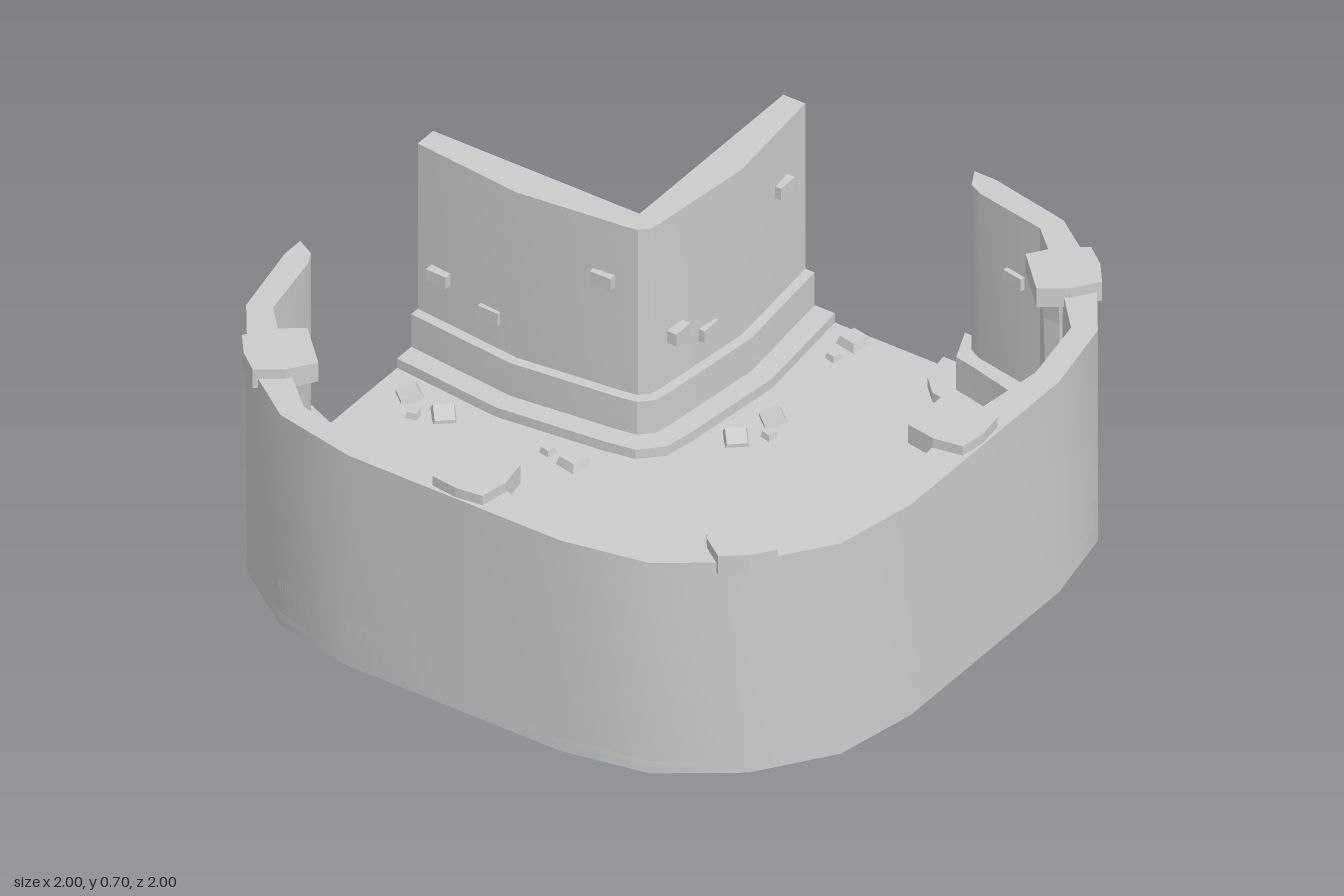
import * as THREE from 'three';
import { toCreasedNormals } from 'three/addons/utils/BufferGeometryUtils.js';

const grey = new THREE.MeshStandardMaterial({ color: 0xcccccc });
const stone = new THREE.MeshStandardMaterial({ color: 0xcccccc, flatShading: true });

function mesh(name, geometry, material = stone) {
  const m = new THREE.Mesh(geometry, material);
  m.name = name;
  return m;
}

// Upright prism from a plan outline of [x, z] points
function prism(plan, y0, y1) {
  const shape = new THREE.Shape(plan.map(([x, z]) => new THREE.Vector2(x, -z)));
  const g = new THREE.ExtrudeGeometry(shape, { depth: y1 - y0, bevelEnabled: false });
  return toCreasedNormals(g.rotateX(-Math.PI / 2).translate(0, y0, 0), 0.5);
}

// Plan line running around three corners; octant goes from x = 0 to the diagonal
function roomLine(octant, end = []) {
  const quarter = [...octant, ...octant.filter(([x, z]) => x !== z).map(([x, z]) => [z, x]).reverse()];
  return [
    ...end.map(([x, z]) => [x, -z]),
    ...quarter.filter(([x]) => x >= 0.3).map(([x, z]) => [x, -z]),
    ...quarter.slice(0, -1).reverse(),
    ...quarter.slice(1).filter(([, z]) => z >= 0.3).map(([x, z]) => [-x, z]),
    ...end.map(([x, z]) => [-z, x]).reverse(),
  ];
}

// Inner face of the notch corner, d away from its back
function notchLine(d) {
  const a = d - 0.34;
  const half = [[-1, a], [-0.66, a + 0.035], [-0.34, a], [-0.34 + d * 0.55, a - d * 0.1]];
  return [...half, ...half.map(([x, z]) => [z, x]).reverse()];
}

// Point and inward heading at fraction t of a wall segment
function addBrick(group, a, b, t, y, inward) {
  const brick = mesh('wallBrick', new THREE.BoxGeometry(0.065, 0.038, 0.03));
  brick.position.set(a[0] + (b[0] - a[0]) * t, y, a[1] + (b[1] - a[1]) * t);
  let angle = Math.atan2(-(b[1] - a[1]), b[0] - a[0]);
  if (inward) angle += Math.PI;
  brick.rotation.y = angle;
  group.add(brick);
}

function pillar(x, z) {
  const g = new THREE.Group();
  g.name = 'pillar';
  const outline = (s) => [[-0.08, -0.09], [0.08, -0.09], [0.095, 0], [0.08, 0.085], [0, 0.095], [-0.08, 0.085], [-0.095, 0]]
    .map(([px, pz]) => [px * s, pz * s]);
  g.add(mesh('pillarCap', prism(outline(1), 0.645, 0.705)));
  g.add(mesh('pillarBase', prism(outline(0.85), 0.03, 0.145)));
  // Slightly waisted eight-sided shaft
  const profile = [[0.074, 0.14], [0.066, 0.2], [0.062, 0.4], [0.066, 0.57], [0.078, 0.65]];
  const shaft = new THREE.LatheGeometry(profile.map(([r, y]) => new THREE.Vector2(r, y)), 8);
  g.add(mesh('pillarShaft', shaft.rotateY(Math.PI / 8)));
  g.position.set(x, 0, z);
  g.rotation.y = Math.atan2(x, z);
  return g;
}

export function createModel() {
  const model = new THREE.Group();
  model.name = 'cornerRoom';

  // Floor
  const outer = roomLine([[0, 1], [0.34, 1], [0.59, 0.95], [0.8, 0.8]]);
  const notch = [[-0.34, -1], [-0.34, -0.34], [-1, -0.34]];
  model.add(mesh('floor', prism([...outer, ...[...notch].reverse()], 0, 0.01), grey));

  // Wall, plinth and kerb, each stepping further into the room
  const wallOctant = [[0, 0.885], [0.34, 0.925], [0.56, 0.885], [0.73, 0.73]];
  const layers = [
    ['Wall', 0.675, 0.07, roomLine(wallOctant, [[0.27, 1], [0.3, 0.945]])],
    ['Plinth', 0.145, 0.1, roomLine([[0, 0.855], [0.34, 0.885], [0.56, 0.83], [0.7, 0.7]], [[0.24, 1], [0.285, 0.895]])],
    ['Kerb', 0.04, 0.165, roomLine(
      [[0, 0.765], [0.075, 0.765], [0.11, 0.8], [0.34, 0.83], [0.59, 0.75], [0.59, 0.68], [0.635, 0.635]],
      [[0.17, 1], [0.19, 0.9], [0.24, 0.85]])],
  ];
  for (const [name, top, d, line] of layers) {
    model.add(mesh('room' + name, prism([...outer, ...[...line].reverse()], 0, top), grey));
    model.add(mesh('notch' + name, prism([...notch, ...notchLine(d)], 0, top), grey));
  }

  // Pillars against the walls and in the corners
  for (const [x, z] of [[0.9, 0], [0, 0.9], [0.74, 0.74], [0.74, -0.74], [-0.74, 0.74]]) {
    model.add(pillar(x, z));
  }

  // Raised bricks on the notch walls
  for (const [p, y] of [[-0.4, 0.49], [-0.75, 0.245], [-0.92, 0.29]]) {
    addBrick(model, [-1, p < -0.66 ? -0.255 : -0.25], [-0.34, p < -0.66 ? -0.235 : -0.26], (p + 1) / 0.66, y, false);
  }
  for (const [p, y] of [[-0.39, 0.3], [-0.52, 0.235], [-0.87, 0.49]]) {
    addBrick(model, [-0.25, -0.34], [-0.25, -1], (-0.34 - p) / 0.66, y, false);
  }

  // Raised bricks on the outer walls: straight pieces first, then corner pieces
  const [mid, edge, bend] = wallOctant;
  const frontBricks = [
    [mid, edge, 0.85, 0.45], [edge, bend, 0.1, 0.52], [edge, bend, 0.75, 0.47],
    [mid, edge, 0.4, 0.49, -1], [mid, edge, 0.35, 0.3, -1], [edge, bend, 0.7, 0.48, -1],
  ];
  for (const [a, b, t, y, s = 1] of frontBricks) {
    addBrick(model, [a[0] * s, a[1]], [b[0] * s, b[1]], t, y, true);
  }
  const sideBricks = [
    [mid, edge, 0.95, 0.29, 1], [mid, edge, 0.5, 0.47, 1], [mid, edge, 0.8, 0.3, -1],
    [edge, bend, 0.1, 0.48, -1], [edge, bend, 0.6, 0.25, 1],
  ];
  for (const [a, b, t, y, s] of sideBricks) {
    addBrick(model, [a[1], a[0] * s], [b[1], b[0] * s], t, y, true);
  }
  addBrick(model, [0.34, -0.925], [0.56, -0.885], 0.6, 0.47, false);
  addBrick(model, [-0.925, 0.34], [-0.885, 0.56], 0.4, 0.3, false);

  // Loose stones on the floor: bevelled blocks, half-buried slabs and pebbles
  const blocks = [[-0.08, -0.95], [0.71, -0.44], [-0.37, -0.08], [0.745, 0.28], [-0.71, 0.43], [-0.28, 0.74], [0.43, 0.705]];
  const slabs = [[0.39, -0.74], [0.505, -0.675], [-0.055, -0.54], [-0.08, -0.41], [0.75, -0.26], [0.725, -0.125],
    [-0.9, -0.085], [-0.77, -0.06], [0.74, 0.39], [0.67, 0.505], [-0.505, 0.665], [-0.39, 0.735], [0.13, 0.715], [0.26, 0.74]];
  const pebbles = [[-0.085, -0.865], [0.43, -0.615], [-0.02, -0.475], [0.77, -0.365], [0.68, -0.195], [-0.84, -0.02],
    [-0.455, -0.085], [0.75, 0.195], [0.61, 0.43], [-0.775, 0.36], [-0.435, 0.61], [-0.195, 0.745], [0.195, 0.68], [0.36, 0.77]];
  const frustum = (w, top, h) =>
    new THREE.CylinderGeometry(top * Math.SQRT1_2, w * Math.SQRT1_2, h, 4).rotateY(Math.PI / 4);
  const kinds = [
    ['floorBlock', blocks, frustum(0.07, 0.052, 0.03), 0.02, 0],
    ['floorSlab', slabs, frustum(0.065, 0.055, 0.03), 0.011, 0.3],
    ['floorPebble', pebbles, frustum(0.034, 0.026, 0.02), 0.018, 0],
  ];
  for (const [name, spots, geometry, y, tilt] of kinds) {
    spots.forEach(([x, z], i) => {
      const rock = mesh(name, geometry);
      rock.position.set(x, y, z);
      rock.rotation.set(tilt, (tilt ? 0.7 : 0.2) * (i % 2 ? 1 : -1), 0, 'YXZ');
      // Keep tilted slabs from poking below the floor
      if (tilt) rock.scale.set(1, 0.6, 1), rock.position.y = 0.02;
      model.add(rock);
    });
  }
  return model;
}
